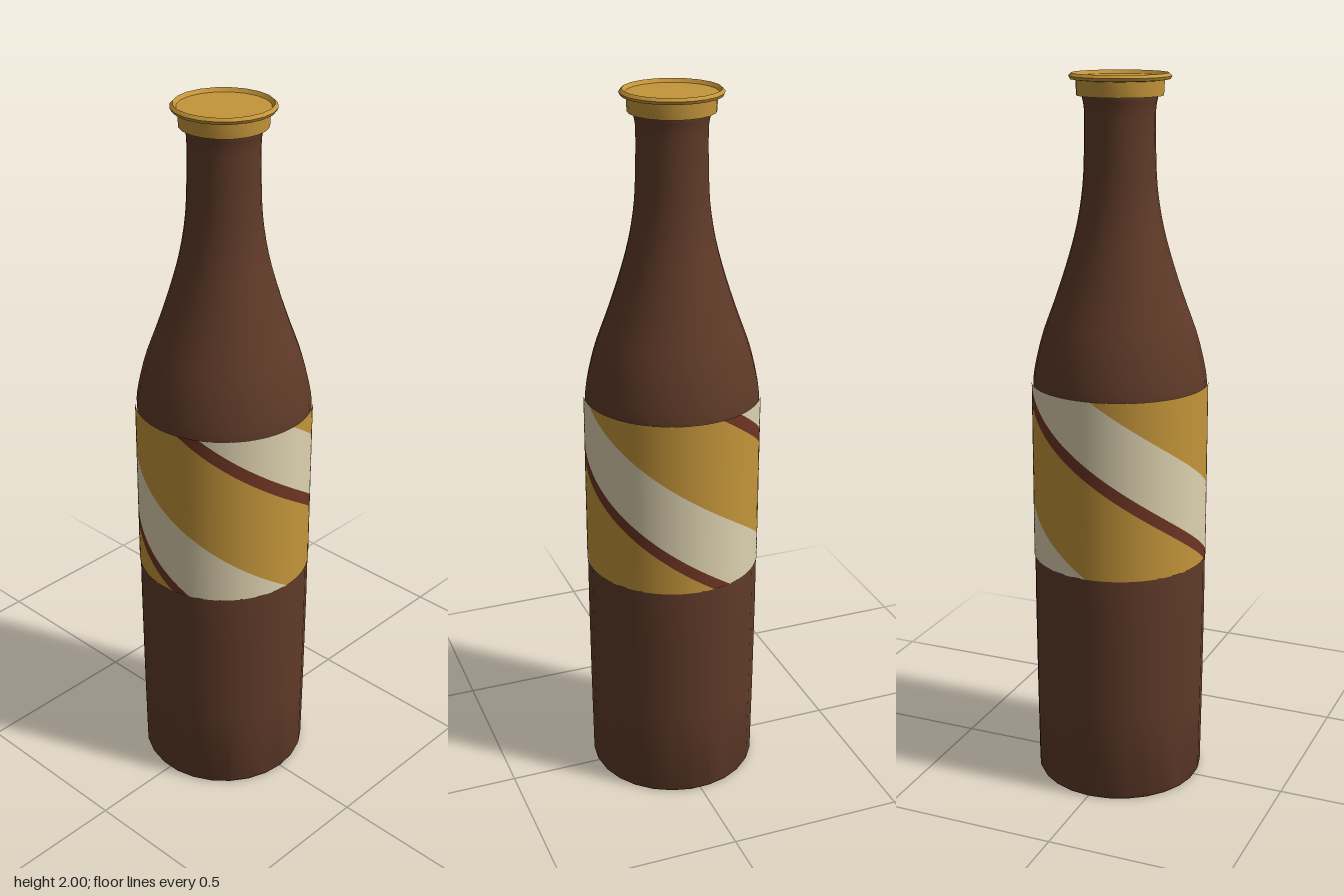
import * as THREE from 'three';
import { toCreasedNormals } from 'three/addons/utils/BufferGeometryUtils.js';

const paint = (name, color) => {
  const m = new THREE.MeshStandardMaterial({ color });
  m.name = name;
  return m;
};

export function createModel() {
  const group = new THREE.Group();
  group.name = 'bottle';

  const glass = paint('brown glass', 0x5f3a28);
  const gold = paint('gold', 0xc4953a);
  const cream = paint('cream', 0xded2b0);
  const russet = paint('russet', 0x6e3524);

  const add = (name, geometry, material, parent = group) => {
    const mesh = new THREE.Mesh(geometry, material);
    mesh.name = name;
    parent.add(mesh);
  };
  const vec = ([x, y]) => new THREE.Vector2(x, y);
  const turn = (points, sides) =>
    toCreasedNormals(new THREE.LatheGeometry(points, sides, Math.PI / 2), 0.5);

  // Body with a recessed base, straight wall, sloping shoulder and neck
  const wall = [[0, 0.035], [0.215, 0.035], [0.234, 0], [0.238, 0.008], [0.241, 0.25],
    [0.243, 0.52], [0.243, 0.66], [0.24, 0.7], [0.24, 1.13]].map(vec);
  const shoulder = new THREE.SplineCurve([[0.241, 1.165], [0.235, 1.21], [0.213, 1.3],
    [0.177, 1.4], [0.144, 1.5], [0.117, 1.6], [0.101, 1.7], [0.096, 1.8],
    [0.095, 1.9], [0.1, 1.935], [0.1, 1.95]].map(vec)).getPoints(28);
  add('bottleBody', turn([...wall, ...shoulder], 26), glass);

  // Crown cap: skirt, flared rim and slightly sunken top
  const cap = [[0.09, 1.942], [0.116, 1.942], [0.118, 1.982], [0.133, 1.984], [0.137, 1.992],
    [0.129, 2], [0.121, 1.99], [0, 1.99]].map(vec);
  add('cap', turn(cap, 20), gold);

  // Wrapped label: each band runs diagonally down across half a turn, twice around
  const label = new THREE.Group();
  label.name = 'label';
  group.add(label);
  const low = 0.665, high = 1.168, radius = 0.2445;
  const band = (from, to, turnBy) => {
    const g = new THREE.PlaneGeometry(1, 1, 24, 40);
    const p = g.attributes.position;
    for (let i = 0; i < p.count; i++) {
      const u = p.getX(i) + 0.5, v = p.getY(i) + 0.5;
      const start = THREE.MathUtils.lerp(from[0], from[1], v);
      const end = THREE.MathUtils.lerp(to[0], to[1], v);
      const a = THREE.MathUtils.degToRad(THREE.MathUtils.lerp(start, end, u) + turnBy);
      p.setXYZ(i, radius * Math.sin(a), THREE.MathUtils.lerp(low, high, v), radius * Math.cos(a));
    }
    g.computeVertexNormals();
    return g;
  };
  // Band edges in degrees at the bottom and the top of the label
  const edges = [[8, -167], [20.5, -152], [90, -87], [188, 13]];
  for (const turnBy of [0, 180]) {
    add('russetStripe', band(edges[0], edges[1], turnBy), russet, label);
    add('creamBand', band(edges[1], edges[2], turnBy), cream, label);
    add('goldBand', band(edges[2], edges[3], turnBy), gold, label);
  }
  return group;
}
